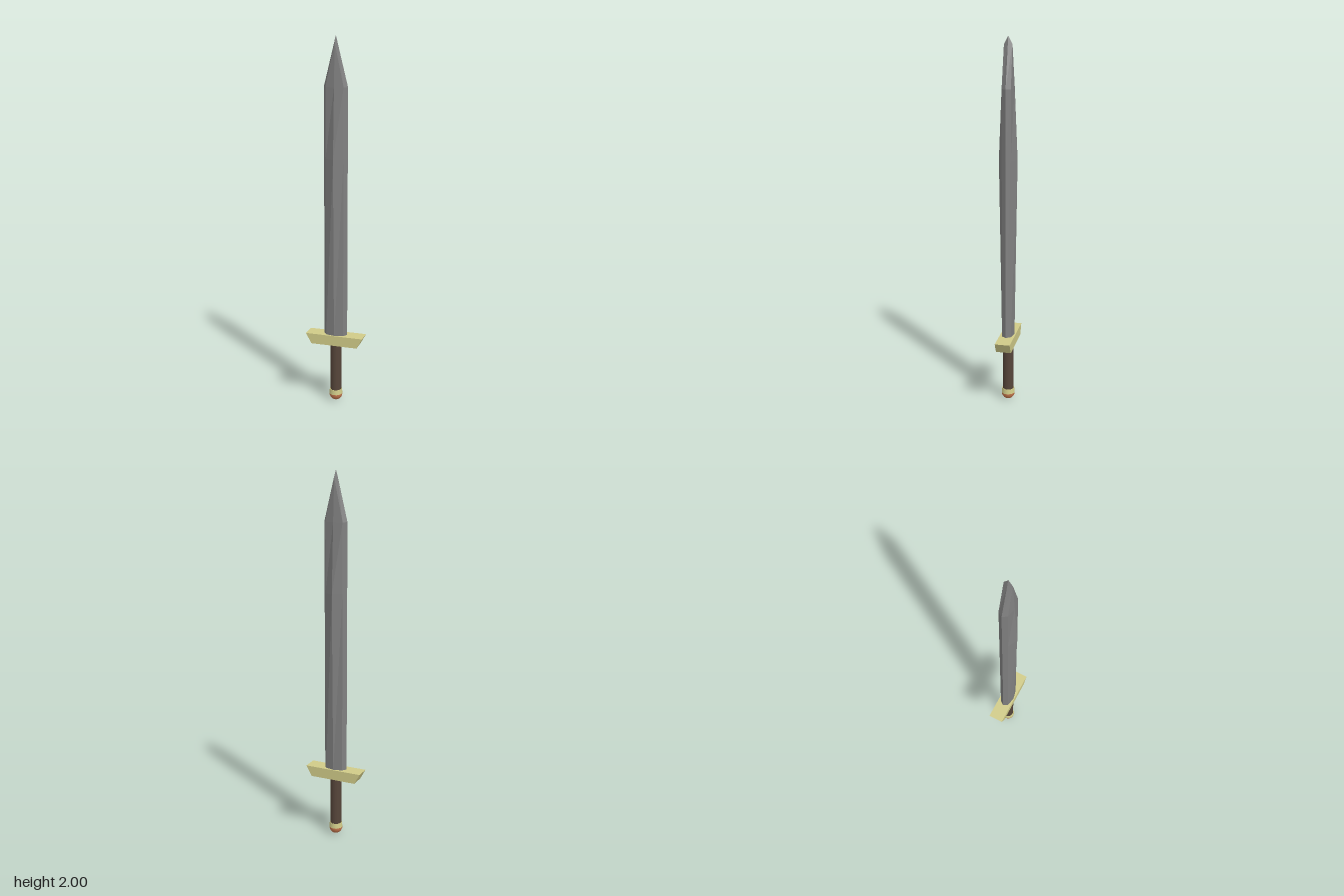
import * as THREE from 'three';

const mat = (color, flatShading = true) => new THREE.MeshStandardMaterial({ color, flatShading });

function part(group, name, geometry, material) {
  const mesh = new THREE.Mesh(geometry, material);
  mesh.name = name;
  group.add(mesh);
  return mesh;
}

// Eight-sided blade: bevelled cutting edges, a raised ridge on each face, and a point.
function bladeGeometry() {
  const w = 0.065, bx = 0.049, bz = 0.024;
  // [height, ridge depth, width factor, bevel depth]
  const levels = [
    [0.37, 0.035, 1, bz],
    [1.37, 0.05, 1, bz],
    [1.74, 0.033, 1, bz],
    [1.96, 0.022, 0.15, 0.022],
  ];
  const pos = [], index = [];
  levels.forEach(([y, d, k, b], i) => {
    const edge = w * k;
    const bevel = i === 3 ? 0.001 : bx;
    pos.push(edge, y, 0, bevel, y, b, 0, y, d, -bevel, y, b);
    pos.push(-edge, y, 0, -bevel, y, -b, 0, y, -d, bevel, y, -b);
  });
  const tip = pos.length / 3;
  pos.push(0, 2, 0, 0, levels[0][0], 0);
  for (let j = 0; j < 8; j++) {
    const n = (j + 1) % 8;
    for (let i = 0; i < levels.length - 1; i++) {
      const a = i * 8 + j, b = i * 8 + n;
      index.push(a, a + 8, b, b, a + 8, b + 8);
    }
    const top = (levels.length - 1) * 8;
    index.push(top + j, tip, top + n);
    index.push(j, n, tip + 1);
  }
  const geo = new THREE.BufferGeometry();
  geo.setAttribute('position', new THREE.Float32BufferAttribute(pos, 3));
  geo.setIndex(index);
  const flat = geo.toNonIndexed();
  flat.computeVertexNormals();
  return flat;
}

export function createModel() {
  const sword = new THREE.Group();
  sword.name = 'sword';

  part(sword, 'blade', bladeGeometry(), mat(0x808080));

  // Crossguard: trapezoid, wider along its upper edge
  const outline = new THREE.Shape([
    new THREE.Vector2(-0.13, 0.335), new THREE.Vector2(0.13, 0.335),
    new THREE.Vector2(0.161, 0.392), new THREE.Vector2(-0.161, 0.392),
  ]);
  const guard = new THREE.ExtrudeGeometry(outline, { depth: 0.082, bevelEnabled: false });
  guard.translate(0, 0, -0.042);
  part(sword, 'crossguard', guard, mat(0xd0cb88));

  // Grip
  const grip = part(sword, 'grip', new THREE.CylinderGeometry(0.031, 0.031, 0.3, 16), mat(0x56453a, false));
  grip.position.y = 0.2;

  // Pommel: collar over a rounded end
  const collar = part(sword, 'pommelCollar', new THREE.CylinderGeometry(0.034, 0.037, 0.027, 16), mat(0xd0cb88, false));
  collar.position.y = 0.052;
  const cap = part(sword, 'pommelCap',
    new THREE.SphereGeometry(0.037, 16, 8, 0, Math.PI * 2, Math.PI / 2, Math.PI / 2), mat(0xc8794f, false));
  cap.scale.y = 0.039 / 0.037;
  cap.position.y = 0.039;

  return sword;
}
